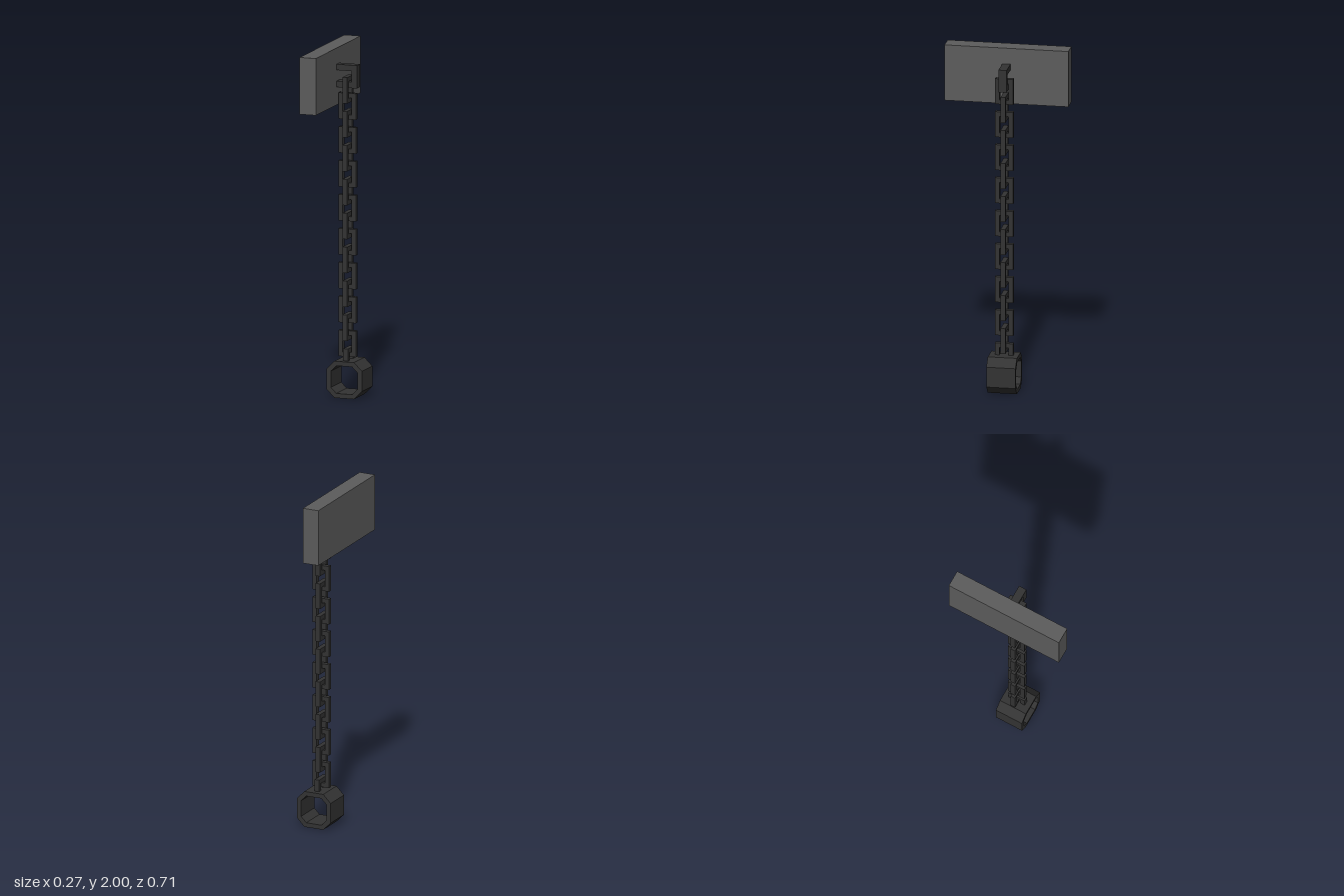
import * as THREE from 'three';

const iron = new THREE.MeshStandardMaterial({ color: 0x333333, flatShading: true });
const slate = new THREE.MeshStandardMaterial({ color: 0x5c5c5c, flatShading: true });

// Rectangle outline with optional cut corners
function outline(Type, w, h, cut = 0) {
  const a = w / 2, b = h / 2;
  const pts = cut
    ? [[a, -b + cut], [a, b - cut], [a - cut, b], [-a + cut, b],
       [-a, b - cut], [-a, -b + cut], [-a + cut, -b], [a - cut, -b]]
    : [[a, -b], [a, b], [-a, b], [-a, -b]];
  return new Type(pts.map(([x, y]) => new THREE.Vector2(x, y)));
}

// Extrusion centred on z = 0
function slab(shape, depth) {
  return new THREE.ExtrudeGeometry(shape, { depth, bevelEnabled: false }).translate(0, 0, -depth / 2);
}

function add(parent, name, geometry, material, x, y, z = 0) {
  const mesh = new THREE.Mesh(geometry, material);
  mesh.name = name;
  mesh.position.set(x, y, z);
  parent.add(mesh);
  return mesh;
}

export function createModel() {
  const model = new THREE.Group();
  model.name = 'wallShackle';

  // Wall plate
  add(model, 'wallPlate', new THREE.BoxGeometry(0.097, 0.327, 0.71), slate, -0.0885, 1.8365);

  // Square staple fixed to the plate
  const staple = new THREE.Shape([
    [-0.04, 1.775], [0.083, 1.775], [0.083, 1.907], [-0.04, 1.907],
    [-0.04, 1.873], [0.049, 1.873], [0.049, 1.81], [-0.04, 1.81],
  ].map(([x, y]) => new THREE.Vector2(x, y)));
  add(model, 'staple', slab(staple, 0.047), iron, 0, 0);

  // Chain of rectangular links, alternately turned a quarter
  const chain = new THREE.Group();
  chain.name = 'chain';
  model.add(chain);
  const linkShape = outline(THREE.Shape, 0.105, 0.15);
  linkShape.holes.push(outline(THREE.Path, 0.053, 0.098));
  const linkGeometry = slab(linkShape, 0.028);
  for (let i = 0; i < 16; i++) {
    const link = add(chain, 'link', linkGeometry, iron, 0.02, 1.765 - i * 0.0975);
    if (i % 2 === 0) link.rotation.y = Math.PI / 2;
  }

  // Half link joining the chain to the cuff
  const eye = new THREE.Group();
  eye.name = 'cuffEye';
  eye.position.x = 0.025;
  model.add(eye);
  add(eye, 'eyeTop', new THREE.BoxGeometry(0.028, 0.026, 0.105), iron, 0, 0.267);
  for (const s of [-1, 1]) {
    add(eye, 'eyeSide', new THREE.BoxGeometry(0.028, 0.054, 0.026), iron, 0, 0.227, s * 0.0395);
  }

  // Eight-sided cuff, open at front and back
  const cuff = outline(THREE.Shape, 0.213, 0.211, 0.047);
  cuff.holes.push(outline(THREE.Path, 0.161, 0.159, 0.033));
  add(model, 'cuff', slab(cuff, 0.167), iron, 0.0285, 0.1055);

  return model;
}
